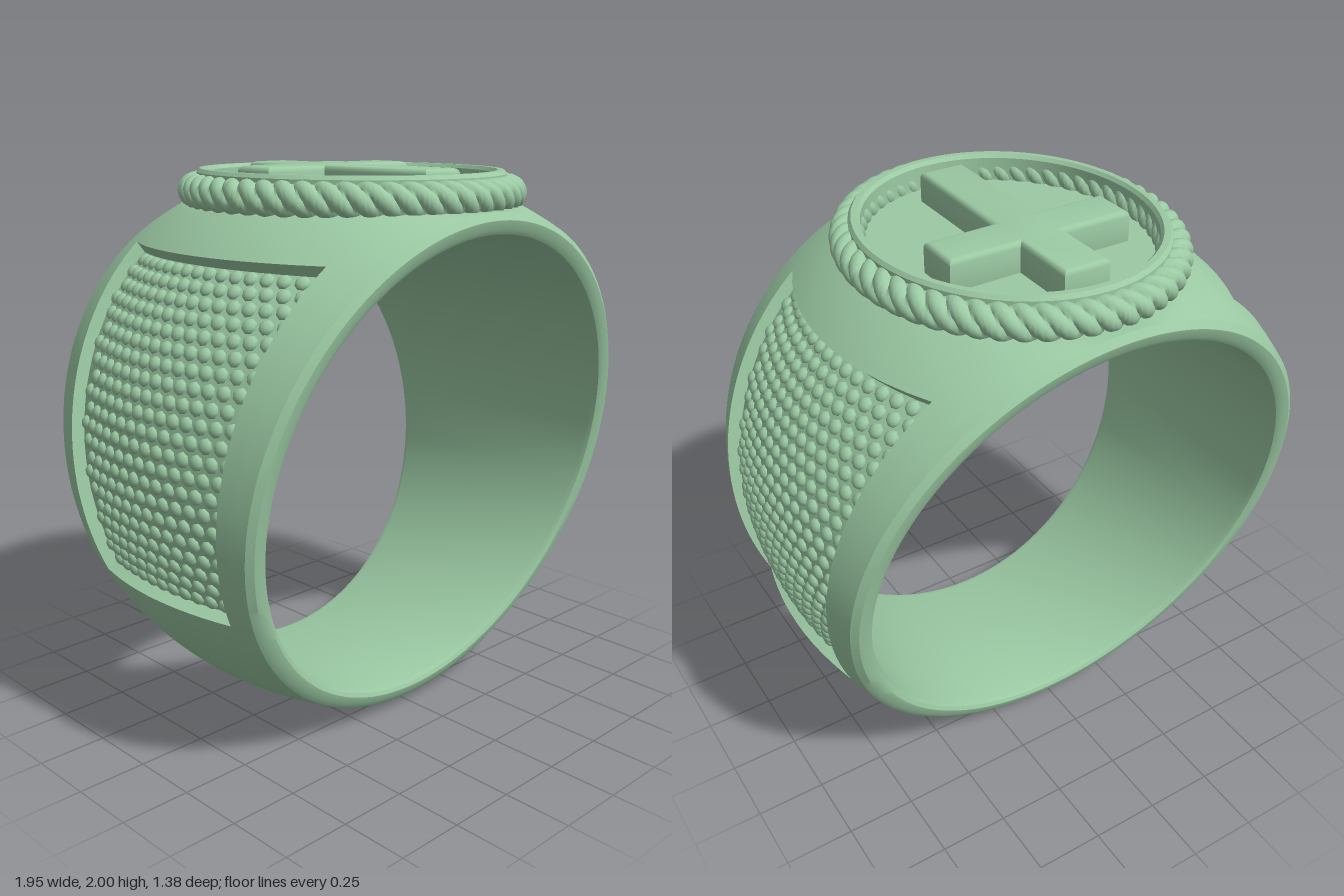
import * as THREE from 'three';
import { mergeGeometries, toCreasedNormals } from 'three/addons/utils/BufferGeometryUtils.js';

const OUT = 1.01;            // outer radius, also height of its centre
const HOLE_Y = 0.947, HOLE_R = 0.843;
const CAP = 1.87;            // flat top of the shoulders
const DROP = 0.05;           // depth of the side panels
const P_LOW = 0.59, P_HIGH = 1.73;

const lerp = THREE.MathUtils.lerp;
const crown = z => OUT - 0.33 * z * z;                    // rounded across the width
const halfWidth = y => 0.35 + 0.188 * (y - 0.04);         // band widens upwards
const panelHalf = y => 0.35 + 0.13 * (y - P_LOW);

// Angle round the band: s -1..0 below the panel, 0..1 on it, 1..2 above it
function angle(s, z) {
  const low = Math.asin((P_LOW - OUT) / crown(z));
  const high = Math.asin((P_HIGH - OUT) / crown(z));
  if (s < 0) return lerp(low, -Math.PI / 2, -s);
  if (s <= 1) return lerp(low, high, s);
  return lerp(high, Math.PI / 2, s - 1);
}

function outerPoint(s, z, drop = 0) {
  const a = angle(s, z), r = crown(z) - drop;
  return [r * Math.cos(a), Math.min(CAP, OUT + r * Math.sin(a)), z];
}

// Closed surface from a ring of closed sections
function loft(sections, crease) {
  const n = sections.length, m = sections[0].length, index = [];
  for (let i = 0; i < n; i++) {
    for (let j = 0; j < m; j++) {
      const a = i * m + j, b = ((i + 1) % n) * m + j;
      const c = i * m + (j + 1) % m, d = ((i + 1) % n) * m + (j + 1) % m;
      index.push(a, b, c, b, d, c);
    }
  }
  const g = new THREE.BufferGeometry();
  g.setAttribute('position', new THREE.Float32BufferAttribute(sections.flat(2), 3));
  g.setIndex(index);
  return toCreasedNormals(g, crease);
}

// One section of the band: outer face with the panel step, then the bore
function bandSection(s, drop) {
  let h = 0.5;
  for (let k = 0; k < 5; k++) h = halfWidth(outerPoint(s, h)[1]);
  const p = panelHalf(outerPoint(s, 0.4)[1]);
  const half = [];                       // from the centre to the +z edge
  for (let k = 0; k <= 6; k++) half.push(outerPoint(s, p * k / 6, drop));
  for (let k = 0; k <= 3; k++) half.push(outerPoint(s, lerp(p, h - 0.018, k / 3)));
  half.push(outerPoint(s, h, 0.018));
  const a = angle(s, 0.3);
  const bore = (r, inset) => {
    const y = HOLE_Y + r * Math.sin(a);
    return [r * Math.cos(a), y, halfWidth(y) - inset];
  };
  half.push(bore(HOLE_R + 0.022, 0), bore(HOLE_R + 0.007, 0.008), bore(HOLE_R, 0.03));
  const mirrored = half.slice(1).reverse().map(([x, y, z]) => [x, y, -z]);
  return [...mirrored, ...half];
}

function bandGeometry() {
  const rows = [];
  const add = (from, to, n, drop) => {
    for (let i = 0; i <= n; i++) rows.push(bandSection(lerp(from, to, i / n), drop));
  };
  add(-1, 0, 24, 0);
  add(0, 1, 32, DROP);
  add(1, 2, 28, 0);
  const other = rows.slice(1, -1).reverse().map(r => r.map(([x, y, z]) => [-x, y, z]));
  return loft([...rows, ...other], 0.55);
}

// Staggered rows of small domes covering one side panel
function domesGeometry(side) {
  const dome = new THREE.SphereGeometry(1, 8, 3, 0, Math.PI * 2, 0, Math.PI / 2);
  const up = new THREE.Vector3(0, 1, 0), scale = new THREE.Vector3(0.027, 0.018, 0.027);
  const rows = 21, step = 0.06, parts = [];
  for (let i = 0; i < rows; i++) {
    const s = (i + 0.5) / rows;
    const limit = panelHalf(outerPoint(s, 0.3)[1]) - 0.025;
    for (let k = -9; k <= 9; k++) {
      const z = (k + (i % 2) / 2) * step;
      if (Math.abs(z) > limit) continue;
      const [x, y] = outerPoint(s, z, DROP + 0.001), a = angle(s, z);
      const normal = new THREE.Vector3(side * Math.cos(a), Math.sin(a), 0.66 * z).normalize();
      const turn = new THREE.Quaternion().setFromUnitVectors(up, normal);
      parts.push(dome.clone().applyMatrix4(
        new THREE.Matrix4().compose(new THREE.Vector3(side * x, y, z), turn, scale)));
    }
  }
  return mergeGeometries(parts);
}

// Three-strand twisted rope on an oval path
function ropeGeometry() {
  const turns = 17, n = turns * 30, m = 24, sections = [];
  for (let i = 0; i < n; i++) {
    const t = i / n * Math.PI * 2, section = [];
    const nx = Math.cos(t) * 0.6, nz = Math.sin(t) * 0.525, len = Math.hypot(nx, nz);
    for (let j = 0; j < m; j++) {
      const f = -j / m * Math.PI * 2;
      const r = 0.042 + 0.02 * Math.sqrt(Math.abs(Math.cos(1.5 * (f - turns * t))));
      const out = r * Math.cos(f);
      section.push([
        0.525 * Math.cos(t) + out * nx / len,
        1.91 + r * Math.sin(f),
        0.6 * Math.sin(t) + out * nz / len]);
    }
    sections.push(section);
  }
  // sections run round the path, so reverse each one to face outwards
  return loft(sections.map(s => s.reverse()).reverse(), 1.0);
}

// Oval rim with a sunken floor
function bezelGeometry() {
  const profile = [[0.52, 1.84], [0.52, 1.975], [0.51, 1.988], [0.49, 1.988],
    [0.48, 1.975], [0.48, 1.89], [0, 1.89]].map(p => new THREE.Vector2(...p));
  return toCreasedNormals(new THREE.LatheGeometry(profile, 96).scale(1, 1, 1.132), 0.5);
}

// Raised cross with bevelled edges
function crossGeometry() {
  const w = 0.086, arm = 0.347, top = 0.455, bottom = -0.45, hi = 0.207, lo = 0.04;
  const shape = new THREE.Shape([[-w, bottom], [w, bottom], [w, lo], [arm, lo], [arm, hi], [w, hi],
    [w, top], [-w, top], [-w, hi], [-arm, hi], [-arm, lo], [-w, lo]]
    .map(p => new THREE.Vector2(...p)));
  const g = new THREE.ExtrudeGeometry(shape, {
    depth: 0.09, bevelThickness: 0.02, bevelSize: 0.02, bevelOffset: -0.02, bevelSegments: 3 });
  return toCreasedNormals(g.rotateX(-Math.PI / 2).translate(0, 1.89, 0), 0.6);
}

export function createModel() {
  const group = new THREE.Group();
  const material = new THREE.MeshStandardMaterial({ color: 0x9ccaa4 });
  const add = (name, geometry) => {
    const mesh = new THREE.Mesh(geometry, material);
    mesh.name = name;
    group.add(mesh);
  };
  add('band', bandGeometry());
  add('leftPanelDomes', domesGeometry(1));
  add('rightPanelDomes', domesGeometry(-1));
  add('bezel', bezelGeometry());
  add('ropeBorder', ropeGeometry());
  add('cross', crossGeometry());
  return group;
}
